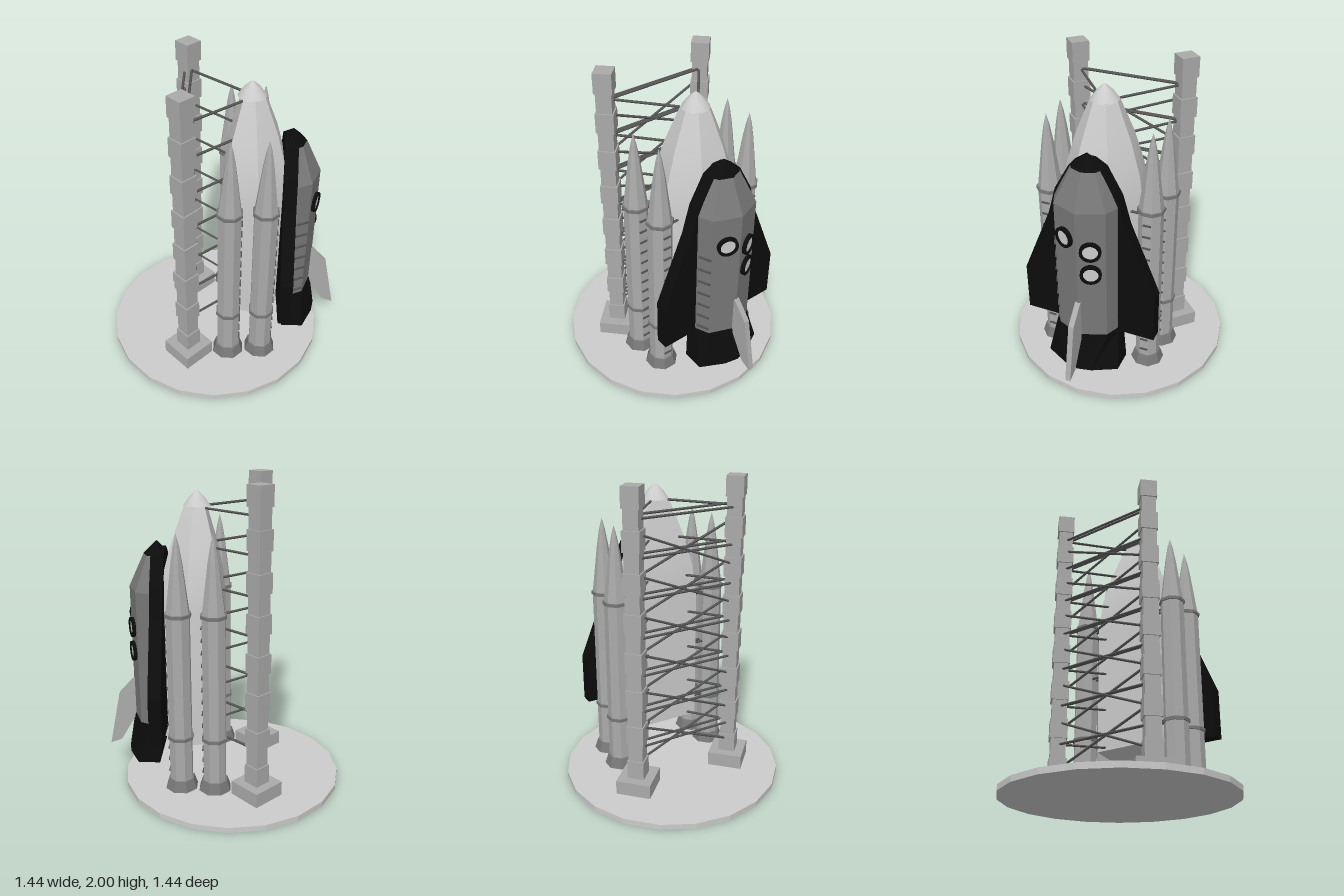
import * as THREE from 'three';
import { toCreasedNormals } from 'three/addons/utils/BufferGeometryUtils.js';

const mat = (color) => new THREE.MeshStandardMaterial({ color, flatShading: true });
const light = mat(0xcccccc), steel = mat(0xaaaaaa), panel = mat(0x777777);
const dark = mat(0x555555), black = mat(0x0c0c0c);
const smooth = new THREE.MeshStandardMaterial({ color: 0xcccccc });

function add(parent, name, geometry, material, x = 0, y = 0, z = 0) {
  const mesh = new THREE.Mesh(geometry, material);
  mesh.name = name;
  mesh.position.set(x, y, z);
  parent.add(mesh);
  return mesh;
}

// Skin over stacked horizontal sections [y, [[x, z], ...]], capped at both ends
function loft(sections) {
  const out = [];
  const n = sections[0][1].length;
  const point = (s, i) => [s[1][i % n][0], s[0], s[1][i % n][1]];
  const centre = (s) => [s[1].reduce((a, p) => a + p[0], 0) / n, s[0], s[1].reduce((a, p) => a + p[1], 0) / n];
  const first = sections[0], last = sections[sections.length - 1];
  for (let i = 0; i < n; i++) {
    for (let k = 0; k < sections.length - 1; k++) {
      const a = point(sections[k], i), b = point(sections[k], i + 1);
      const c = point(sections[k + 1], i + 1), d = point(sections[k + 1], i);
      out.push(...a, ...b, ...c, ...a, ...c, ...d);
    }
    out.push(...centre(first), ...point(first, i + 1), ...point(first, i));
    out.push(...centre(last), ...point(last, i), ...point(last, i + 1));
  }
  const g = new THREE.BufferGeometry();
  g.setAttribute('position', new THREE.Float32BufferAttribute(out, 3));
  g.computeVertexNormals();
  return g;
}

// Thin rod between two points
function rod(parent, name, a, b, r = 0.008) {
  const p = new THREE.Vector3(...a), q = new THREE.Vector3(...b);
  const m = add(parent, name, new THREE.CylinderGeometry(r, r, p.distanceTo(q), 6), dark);
  m.position.copy(p).add(q).multiplyScalar(0.5);
  m.quaternion.setFromUnitVectors(new THREE.Vector3(0, 1, 0), q.sub(p).normalize());
}

function lathe8(points) {
  return new THREE.LatheGeometry(points.map((p) => new THREE.Vector2(...p)), 8, Math.PI / 8);
}

function buildGantry() {
  const g = new THREE.Group();
  g.name = 'gantry';
  const tz = -0.172, tx = 0.347, step = 1.87 / 15;
  for (const s of [-1, 1]) {
    // Towers stand cornerwise, with alternating wide and narrow blocks
    add(g, 'towerFoot', new THREE.BoxGeometry(0.226, 0.1, 0.226), steel, s * tx, 0.08, tz).rotation.y = Math.PI / 4;
    for (let i = 0; i < 15; i++) {
      const w = i % 2 ? 0.093 : 0.109;
      add(g, 'towerBlock', new THREE.BoxGeometry(w, step, w), steel, s * tx, 0.13 + (i + 0.5) * step, tz).rotation.y = Math.PI / 4;
    }
  }
  const levels = [1.82];
  for (let k = 0; k < 6; k++) levels.push(1.59 - k * 0.248);
  levels.forEach((y, k) => {
    for (const s of [-1, 1]) {
      const z = tz + s * 0.022;
      rod(g, 'crossBar', [-tx, y + s * 0.008, z], [tx, y + s * 0.008, z]);
      // Diagonals cross at each bar below the top one
      if (k) rod(g, 'brace', [-0.3, y + s * 0.124, z], [0.3, y - s * 0.124, z]);
      // Arms reaching forward to the tank
      rod(g, 'serviceArm', [s * 0.31, y, -0.14], [s * 0.06, y, 0.16]);
    }
  });
  return g;
}

function buildTank() {
  const g = new THREE.Group();
  g.name = 'fuelTank';
  const angles = [27, 79, 128, 232, 281, 333].map(THREE.MathUtils.degToRad);
  const ring = (r) => angles.map((a) => [r * Math.sin(a), r * Math.cos(a)]);
  const profile = [[0.33, 0.265], [1.2, 0.265], [1.4, 0.238], [1.6, 0.178], [1.83, 0.085]];
  add(g, 'tankShell', toCreasedNormals(loft(profile.map(([y, r]) => [y, ring(r)])), 0.6), smooth);
  const cap = [[0, 1.825], [0.085, 1.825], [0.05, 1.875], [0.02, 1.905], [0, 1.92]];
  add(g, 'tankTip', toCreasedNormals(new THREE.LatheGeometry(cap.map((p) => new THREE.Vector2(...p)), 14), 0.8), smooth);
  g.position.z = 0.212;
  return g;
}

function buildBooster(x, z) {
  const g = new THREE.Group();
  g.name = 'booster';
  add(g, 'boosterBody', lathe8([[0, 0.1], [0.075, 0.1], [0.075, 1.235], [0.035, 1.55], [0.018, 1.65], [0, 1.72]]), steel);
  add(g, 'boosterSkirt', lathe8([[0, 0.08], [0.106, 0.08], [0.084, 0.148], [0.07, 0.148]]), panel);
  for (const y of [0.435, 1.235]) {
    add(g, 'boosterBand', lathe8([[0.07, y - 0.01], [0.084, y - 0.01], [0.084, y + 0.01], [0.07, y + 0.01]]), panel);
  }
  for (let y = 0.2; y < 1.2; y += 0.08) {
    add(g, 'boosterRung', new THREE.BoxGeometry(0.05, 0.01, 0.014), dark, 0, y, 0.071);
  }
  // Paired struts to the tank
  for (const y of [0.45, 0.85, 1.2]) {
    for (const dz of [-0.018, 0.018]) rod(g, 'boosterStrut', [0, y, dz], [-Math.sign(x) * 0.14, y, dz]);
  }
  g.position.set(x, 0, z);
  return g;
}

function buildOrbiter() {
  const g = new THREE.Group();
  g.name = 'orbiter';
  // Half section: ridge, upper edge, lower edge, underside
  const section = (ridge, ux, uz, lx, lz, back) => [
    [0, ridge], [ux, uz], [lx, lz], [lx, back], [-lx, back], [-lx, lz], [-ux, uz]];
  const full = section(0.648, 0.16, 0.585, 0.195, 0.505, 0.48);
  const front = section(0.55, 0.075, 0.52, 0.1, 0.475, 0.42);
  add(g, 'fuselage', loft([[0.43, full], [1.32, full], [1.53, front]]), panel);
  add(g, 'noseCap', loft([[1.53, front], [1.61, section(0.468, 0.002, 0.467, 0.002, 0.465, 0.463)]]), black);
  add(g, 'engineSkirt', loft([
    [0.19, section(0.695, 0.09, 0.675, 0.238, 0.6, 0.46)],
    [0.44, section(0.652, 0.163, 0.59, 0.205, 0.51, 0.43)]]), black);

  // Flat delta wing, mirrored about the centre line
  const half = [[0.03, 1.57], [0.1, 1.53], [0.195, 1.36], [0.245, 1.18], [0.43, 0.73], [0.43, 0.41]];
  const outline = [...half, ...half.map(([x, y]) => [-x, y]).reverse()];
  const wing = new THREE.Shape(outline.map((p) => new THREE.Vector2(...p)));
  add(g, 'deltaWing', new THREE.ExtrudeGeometry(wing, { depth: 0.08, bevelEnabled: false }), black, 0, 0, 0.413);

  // Tail fin, drawn as (depth, height) and turned to stand along z
  const fin = new THREE.Shape([[0.6, 0.7], [0.65, 0.69], [0.75, 0.58], [0.825, 0.21], [0.75, 0.24], [0.65, 0.41], [0.6, 0.41]]
    .map((p) => new THREE.Vector2(...p)));
  const finMesh = add(g, 'tailFin', new THREE.ExtrudeGeometry(fin, { depth: 0.034, bevelEnabled: false }), steel, -0.017);
  finMesh.rotation.y = -Math.PI / 2;
  finMesh.position.x = 0.017;

  // Round windows lying on the two sloping upper faces
  for (const [x, y] of [[-0.078, 1.132], [0.078, 1.07], [0.078, 0.91]]) {
    const w = new THREE.Group();
    w.name = 'window';
    const rim = new THREE.Shape().absarc(0, 0, 0.064, 0, Math.PI * 2);
    rim.holes.push(new THREE.Path().absarc(0, 0, 0.046, 0, Math.PI * 2, true));
    add(w, 'windowRim', new THREE.ExtrudeGeometry(rim, { depth: 0.03, bevelEnabled: false, curveSegments: 12 }), black, 0, 0, -0.01);
    add(w, 'windowPane', new THREE.CylinderGeometry(0.047, 0.047, 0.02, 24), light, 0, 0, 0.002).rotation.x = Math.PI / 2;
    w.position.set(x, y, 0.619);
    w.rotation.y = Math.sign(x) * 0.38;
    g.add(w);
  }
  // Ladder on one side face
  for (let i = 0; i < 7; i++) {
    add(g, 'hullRung', new THREE.BoxGeometry(0.08, 0.012, 0.016), dark, -0.179, 0.48 + i * 0.093, 0.546).rotation.y = -1.15;
  }
  return g;
}

export function createModel() {
  const model = new THREE.Group();
  model.name = 'launchPad';
  add(model, 'padDisc', new THREE.CylinderGeometry(0.72, 0.72, 0.036, 20), light, 0, 0.018, 0);
  // Everything on the pad is turned together
  const stack = new THREE.Group();
  stack.name = 'launchStack';
  stack.rotation.y = 0.62;
  stack.add(buildGantry(), buildTank(), buildOrbiter());
  for (const s of [-1, 1]) stack.add(buildBooster(s * 0.345, 0.094), buildBooster(s * 0.327, 0.308));
  model.add(stack);
  return model;
}
